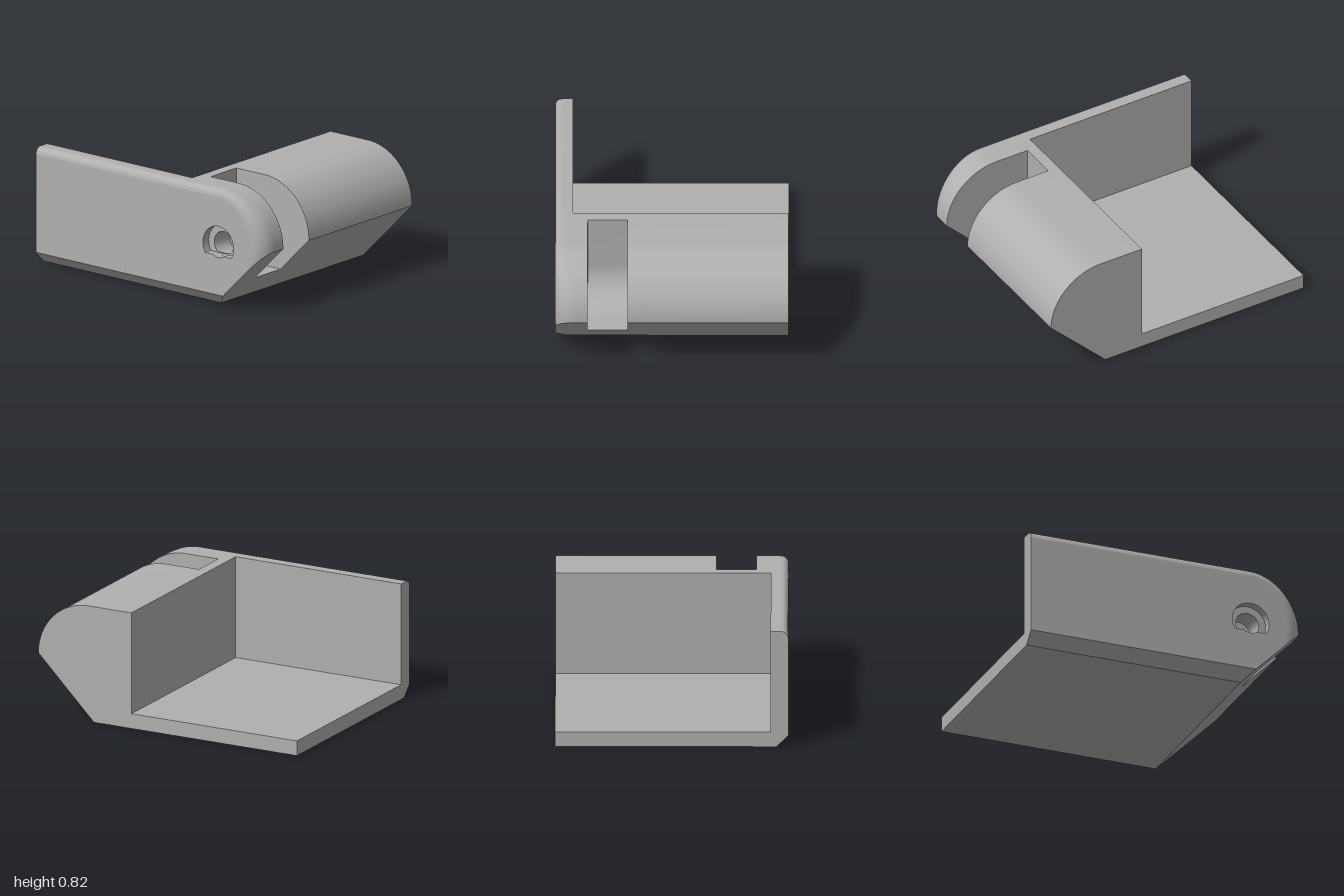
import * as THREE from 'three';
import { toCreasedNormals } from 'three/addons/utils/BufferGeometryUtils.js';

// Profiles are drawn in (z, y) and run along x.
const PIN_Z = 0.61, PIN_Y = 0.43, OUTER_R = 0.39, PIN_R = 0.085, POCKET_R = 0.135;
const TOP = 0.82, BACK = -1, SIDE = 0.79, STEP = 0.28;

function arc(r, a0, a1, n, rz = r) {
  return Array.from({ length: n + 1 }, (_, i) => {
    const a = a0 + (a1 - a0) * i / n;
    return new THREE.Vector2(PIN_Z + rz * Math.cos(a), PIN_Y + r * Math.sin(a));
  });
}
const pt = (z, y) => new THREE.Vector2(z, y);

function shapeOf(points, hole) {
  const shape = new THREE.Shape(points);
  if (hole) shape.holes.push(new THREE.Path(hole));
  return shape;
}

function extrudeX(shape, x0, x1) {
  const geo = new THREE.ExtrudeGeometry(shape, { depth: x1 - x0, bevelEnabled: false });
  geo.rotateY(-Math.PI / 2).translate(x1, 0, 0);
  return toCreasedNormals(geo, 0.4);
}

function plateX(shape, x) {
  return new THREE.ShapeGeometry(shape).rotateY(-Math.PI / 2).translate(x, 0, 0);
}

// Skin through closed sections, each { x, points }
function loftX(sections) {
  const n = sections[0].points.length, pos = [], idx = [];
  sections.forEach(s => s.points.forEach(p => pos.push(s.x, p.y, p.x)));
  for (let i = 0; i < sections.length - 1; i++) {
    for (let j = 0; j < n; j++) {
      const a = i * n + j, b = i * n + (j + 1) % n, c = a + n, d = b + n;
      idx.push(a, c, b, b, c, d);
    }
  }
  const geo = new THREE.BufferGeometry();
  geo.setAttribute('position', new THREE.Float32BufferAttribute(pos, 3));
  geo.setIndex(idx);
  return toCreasedNormals(geo, 0.45);
}

// Inset of a rounded edge at distance t from the side face
function roundInset(t, width, depth) {
  if (t >= width) return 0;
  const u = 1 - t / width;
  return depth * (1 - Math.sqrt(1 - u * u));
}

// Full side profile, shrunk near the outer face by the fillets and bottom chamfer
function sideProfile(t) {
  const bottom = Math.max(0, 0.08 - t);
  const rz = OUTER_R - roundInset(t, 0.12, 0.12);
  const ry = OUTER_R - roundInset(t, 0.05, 0.05);
  const start = Math.acos(Math.min(1, OUTER_R / Math.hypot(rz, ry))) - Math.atan2(ry, rz);
  const a0 = Math.min(0, start + 0) === start ? start : 0;
  const begin = t >= 0.12 ? 0 : Math.max(a0, -0.6);
  // the curve starts where it meets the sloping underside
  const R = Math.hypot(rz, ry), phi = Math.atan2(ry, rz);
  const meet = t >= 0.12 ? begin : Math.acos(Math.min(1, OUTER_R / R)) - phi;
  return [pt(BACK, bottom), pt(0.57 + bottom, bottom),
    ...arc(ry, Math.min(0, meet), Math.PI / 2, 28, rz), pt(BACK, PIN_Y + ry)];
}

export function createModel() {
  const group = new THREE.Group();
  const grey = new THREE.MeshStandardMaterial({ color: 0xb0b0b0, side: THREE.DoubleSide });
  grey.name = 'light grey';
  const add = (name, geo) => {
    const mesh = new THREE.Mesh(geo, grey);
    mesh.name = name;
    group.add(mesh);
  };
  const box = (name, x0, x1, y0, y1, z0, z1) => add(name,
    new THREE.BoxGeometry(x1 - x0, y1 - y0, z1 - z0)
      .translate((x0 + x1) / 2, (y0 + y1) / 2, (z0 + z1) / 2));

  const pinHole = arc(PIN_R, 0, Math.PI * 2, 32).slice(0, -1);

  // Floor and inner side of the wall
  box('floor', -0.71, SIDE, 0, 0.105, BACK, STEP);
  box('wallInner', -0.7, -0.67, 0, TOP, BACK, STEP);

  // Rounded outer side of the wall
  const steps = Array.from({ length: 13 }, (_, k) => 0.12 * (1 - Math.cos(k * Math.PI / 24)));
  steps[12] = 0.12;
  steps.push(0.08);
  steps.sort((a, b) => a - b);
  add('wallOuter', loftX(steps.map(t => ({ x: -SIDE + t, points: sideProfile(t) }))));

  // Outer face with a pocket: a flat-bottomed circle joined to the pin hole
  const flat = 0.07, oa = Math.asin(flat / POCKET_R), ia = Math.asin(flat / PIN_R);
  const pocket = [...arc(POCKET_R, -oa, Math.PI + oa, 32),
    ...arc(PIN_R, Math.PI + ia, Math.PI * 2 - ia, 10)];
  const pocketX = -0.73;
  add('wallFace', plateX(shapeOf(sideProfile(0), pocket), -SIDE));
  add('pocketSides', loftX([{ x: pocketX, points: pocket }, { x: -SIDE, points: pocket }]));
  add('pocketFloor', plateX(shapeOf(arc(POCKET_R, -oa, Math.PI + oa, 32), pinHole), pocketX));
  add('pinBore', loftX([{ x: -0.57, points: pinHole }, { x: pocketX, points: pinHole }]));

  // Hinge blocks on both sides of the slot
  const block = [pt(STEP, 0), pt(0.57, 0), ...arc(OUTER_R, 0, Math.PI / 2, 28), pt(STEP, TOP)];
  add('leftCheek', extrudeX(shapeOf(block, pinHole), -0.67, -0.57));
  add('rightBlockBored', extrudeX(shapeOf(block, pinHole), -0.3, -0.15));
  add('rightBlock', extrudeX(shapeOf(block), -0.15, SIDE));

  // Rounded trough between the blocks
  const trough = [pt(STEP, 0), pt(0.57, 0), pt(0.75, 0.18),
    ...arc(0.25, -Math.PI / 2, -Math.PI, 20), pt(0.36, TOP), pt(STEP, TOP)];
  add('slotTrough', extrudeX(shapeOf(trough), -0.57, -0.3));

  return group;
}
